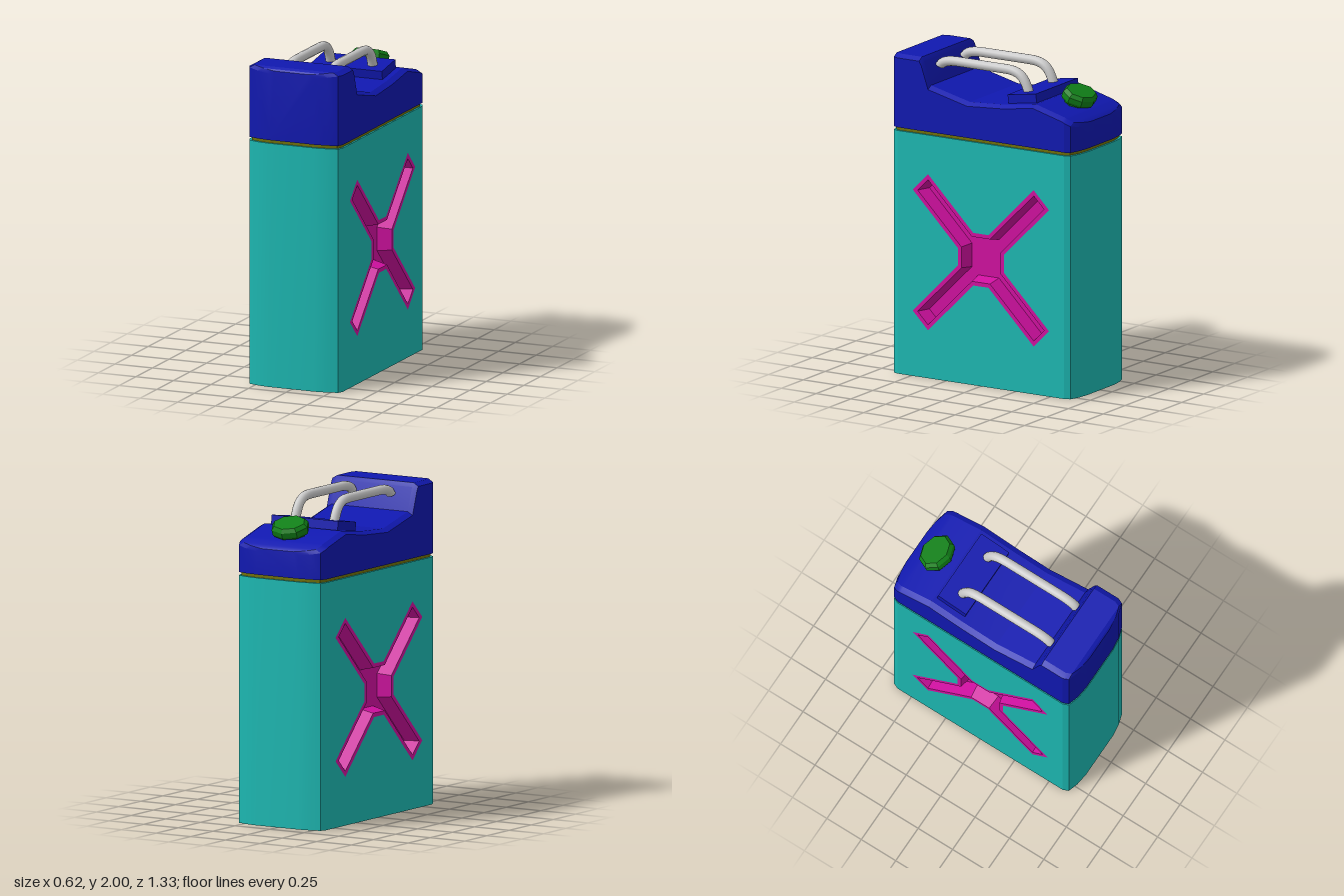
import * as THREE from 'three';
import { toCreasedNormals } from 'three/addons/utils/BufferGeometryUtils.js';

const paint = (color) => new THREE.MeshStandardMaterial({ color });
const V = (x, y, z) => new THREE.Vector3(x, y, z);

// Skins a row of equal-length rings; optionally closes the rings and caps both ends
function loft(rings, { closed = true, caps = false, crease = 0.5 } = {}) {
  const pts = [];
  const n = rings[0].length;
  for (let i = 0; i < rings.length - 1; i++) {
    for (let j = 0; j < (closed ? n : n - 1); j++) {
      const k = (j + 1) % n;
      const [a, b, c, d] = [rings[i][j], rings[i][k], rings[i + 1][k], rings[i + 1][j]];
      pts.push(a, b, c, a, c, d);
    }
  }
  if (caps) {
    const first = rings[0], last = rings[rings.length - 1];
    for (let k = 1; k < n - 1; k++) {
      pts.push(first[0], first[k + 1], first[k], last[0], last[k], last[k + 1]);
    }
  }
  return toCreasedNormals(new THREE.BufferGeometry().setFromPoints(pts), crease);
}

// Plan outline of the can: the bowed front end, left to right [x, z]
const corner = [[0.31, 0.6], [0.295, 0.635], [0.23, 0.655], [0.15, 0.665]];
const frontEnd = [...corner.map(([x, z]) => [-x, z]), ...[...corner].reverse()];

function planShape(inset = 0) {
  const ring = [...frontEnd, ...frontEnd.map(([x, z]) => [-x, -z])];
  const kx = 1 - inset / 0.31, kz = 1 - inset / 0.665;
  return new THREE.Shape(ring.map(([x, z]) => new THREE.Vector2(x * kx, -z * kz)));
}

// X-shaped outline, drawn inwards by an offset
function crossOutline(offset) {
  const c = 0.165 - offset;
  const d = 0.11 - offset * Math.SQRT2;
  const s = 0.87 - offset * Math.SQRT2;
  const arm = [[c, c - d], [(s + d) / 2, (s - d) / 2], [(s - d) / 2, (s + d) / 2], [c - d, c]];
  const out = [];
  for (let q = 0; q < 4; q++) {
    for (const [x, y] of arm) {
      out.push(new THREE.Vector2(x, y).rotateAround(new THREE.Vector2(), q * Math.PI / 2));
    }
  }
  return out.map((p) => p.add(new THREE.Vector2(0, 0.79)));
}

export function createModel() {
  const model = new THREE.Group();
  const teal = paint(0x1cb8b2), pink = paint(0xd010a0), blue = paint(0x1018b0);
  const olive = paint(0x707008), green = paint(0x108018), grey = paint(0xcccccc);
  const add = (name, geometry, material, parent = model) => {
    const mesh = new THREE.Mesh(geometry, material);
    mesh.name = name;
    parent.add(mesh);
    return mesh;
  };

  // Can body: bowed ends, bottom and top
  const bodyTop = 1.525;
  const endRing = (y) => frontEnd.map(([x, z]) => V(x, y, z));
  const endWall = loft([endRing(0), endRing(bodyTop)], { closed: false, crease: 0.7 });
  add('frontWall', endWall, teal);
  add('backWall', endWall, teal).rotation.y = Math.PI;
  add('bottom', new THREE.ShapeGeometry(planShape()), teal).rotation.x = Math.PI / 2;
  const shoulder = add('bodyTop', new THREE.ShapeGeometry(planShape()), teal);
  shoulder.rotation.x = -Math.PI / 2;
  shoulder.position.y = bodyTop;

  // Side walls, each with a sunken X
  const depth = 0.09;
  const rimEdge = crossOutline(0.025), floorEdge = crossOutline(0.045);
  const wall = new THREE.Shape([[-0.6, 0], [0.6, 0], [0.6, bodyTop], [-0.6, bodyTop]]
    .map(([x, y]) => new THREE.Vector2(x, y)));
  wall.holes.push(new THREE.Path(crossOutline(0)));
  const rim = new THREE.Shape(crossOutline(0));
  rim.holes.push(new THREE.Path(rimEdge));
  const recess = loft([
    rimEdge.map((p) => V(p.x, p.y, 0)),
    floorEdge.map((p) => V(p.x, p.y, -depth)),
  ], { crease: 0.2 });
  for (const [side, sign] of [['left', 1], ['right', -1]]) {
    const panel = new THREE.Group();
    panel.name = side + 'Side';
    panel.position.x = sign * 0.31;
    panel.rotation.y = sign * Math.PI / 2;
    add('sideWall', new THREE.ShapeGeometry(wall), teal, panel);
    add('crossRim', new THREE.ShapeGeometry(rim), pink, panel);
    add('crossWalls', recess, pink, panel);
    add('crossFloor', new THREE.ShapeGeometry(new THREE.Shape(floorEdge)), pink, panel)
      .position.z = -depth;
    model.add(panel);
  }

  // Inset seam between body and lid
  const seam = new THREE.ExtrudeGeometry(planShape(0.012), { depth: 0.03, bevelEnabled: false });
  const seamMesh = add('seam', seam, olive);
  seamMesh.rotation.x = -Math.PI / 2;
  seamMesh.position.y = 1.52;

  // Lid: chamfered cross-sections from front to back [z, half width, height]
  const sections = [
    [0.665, 0.15, 1.98], [0.655, 0.23, 1.99], [0.635, 0.295, 2.0], [0.6, 0.31, 2.0],
    [0.445, 0.31, 2.0], [0.43, 0.31, 1.975], [0.38, 0.31, 1.83], [0.1, 0.31, 1.763],
    [-0.15, 0.31, 1.78], [-0.375, 0.31, 1.812], [-0.58, 0.31, 1.757], [-0.6, 0.31, 1.748],
    [-0.635, 0.295, 1.73], [-0.655, 0.23, 1.718], [-0.665, 0.15, 1.708],
  ];
  const lidRings = sections.map(([z, w, h]) => [
    V(-w, 1.545, z), V(-w, h - 0.02, z), V(-w + 0.035, h, z),
    V(w - 0.035, h, z), V(w, h - 0.02, z), V(w, 1.545, z),
  ]);
  add('lid', loft(lidRings, { caps: true, crease: 0.3 }), blue);

  // Raised pad under the handles
  const pad = add('handlePad', new THREE.BoxGeometry(0.48, 0.08, 0.205), blue);
  pad.position.set(0, 1.81, -0.255);
  pad.rotation.x = 0.15;

  // Two bent handle bars
  for (const x of [-0.14, 0.14]) {
    const path = new THREE.CurvePath();
    const p = (z, y) => V(x, y, z);
    path.add(new THREE.QuadraticBezierCurve3(p(0.4, 1.925), p(0.38, 1.962), p(0.28, 1.965)));
    path.add(new THREE.LineCurve3(p(0.28, 1.965), p(-0.07, 1.965)));
    path.add(new THREE.CubicBezierCurve3(
      p(-0.07, 1.965), p(-0.18, 1.965), p(-0.21, 1.93), p(-0.245, 1.82)));
    add('handle', new THREE.TubeGeometry(path, 40, 0.03, 12), grey);
  }

  // Eight-sided screw cap, leaning back
  const capProfile = [[0, 0], [0.09, 0], [0.09, 0.035], [0.118, 0.04],
    [0.125, 0.055], [0.125, 0.085], [0.105, 0.108], [0, 0.108]]
    .map(([r, y]) => new THREE.Vector2(r, y));
  const cap = new THREE.LatheGeometry(capProfile, 8);
  const capMaterial = paint(0x108018);
  capMaterial.flatShading = true;
  const capMesh = add('cap', cap, capMaterial);
  capMesh.scale.z = 0.83;
  capMesh.position.set(0, 1.76, -0.49);
  capMesh.rotation.x = -0.37;

  return model;
}
